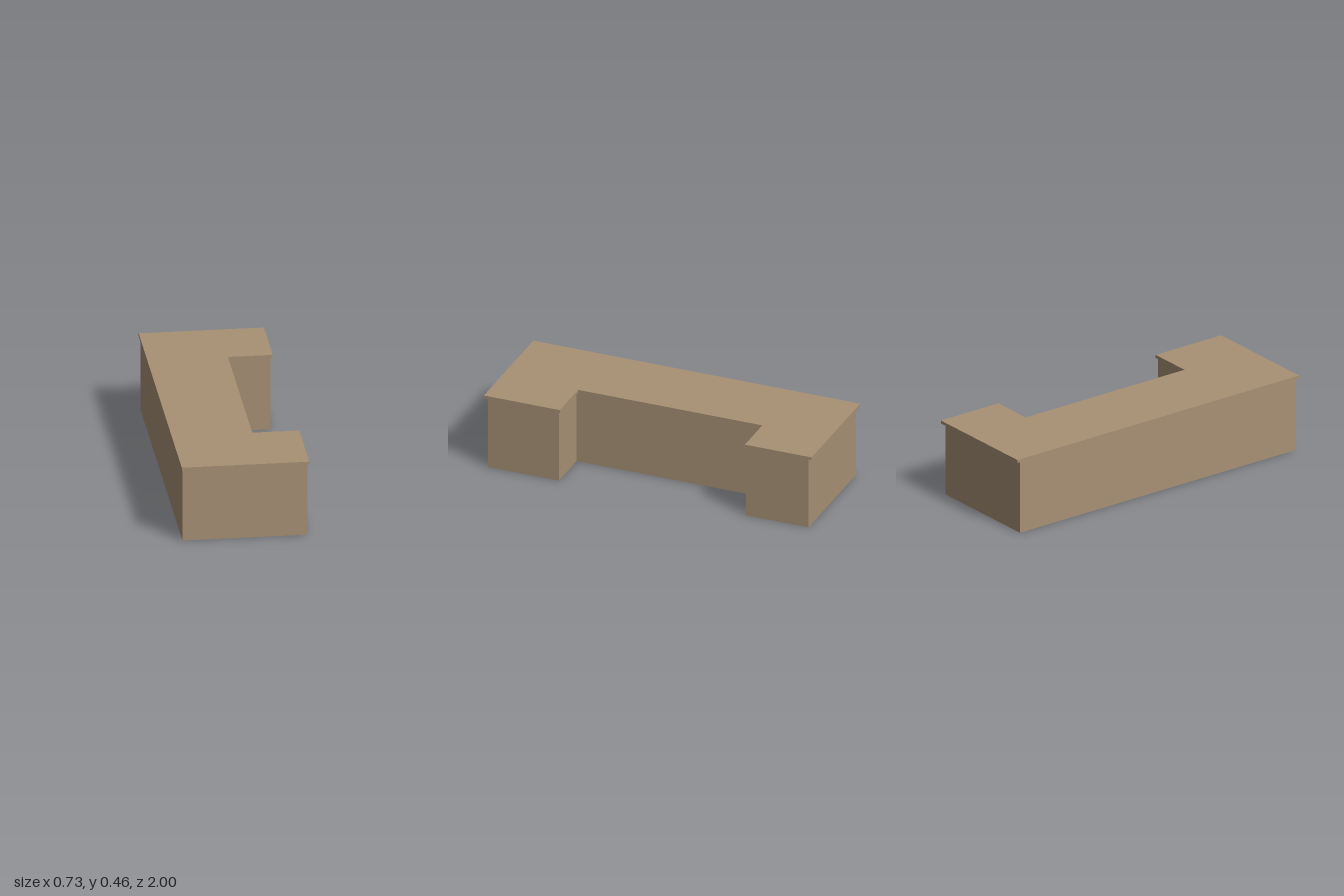
import * as THREE from 'three';

// Vertical prism from a plan outline of [x, z] points
function prism(name, plan, bottom, top, material) {
  const shape = new THREE.Shape(plan.map(([x, z]) => new THREE.Vector2(x, -z)));
  const geometry = new THREE.ExtrudeGeometry(shape, { depth: top - bottom, bevelEnabled: false });
  geometry.rotateX(-Math.PI / 2);
  geometry.translate(0, bottom, 0);
  const mesh = new THREE.Mesh(geometry, material);
  mesh.name = name;
  return mesh;
}

// C-shaped plan: long spine with a wing at the front and at the back
function cPlan({ left, recess, front, back, frontWing, backWing }) {
  return [
    [left, front], [frontWing.x, front], [frontWing.x, frontWing.z], [recess, frontWing.z],
    [recess, backWing.z], [backWing.x, backWing.z], [backWing.x, back], [left, back],
  ];
}

export function createModel() {
  const model = new THREE.Group();
  model.name = 'building';
  const material = new THREE.MeshStandardMaterial({ color: 0xa89175, flatShading: true });

  // Walls
  model.add(prism('walls', cPlan({
    left: -0.356, recess: 0.095, front: 0.977, back: -0.977,
    frontWing: { x: 0.355, z: 0.544 }, backWing: { x: 0.339, z: -0.595 },
  }), 0, 0.437, material));

  // Thin roof slab, overhanging the outer walls and flush in the recess
  model.add(prism('roofSlab', cPlan({
    left: -0.363, recess: 0.095, front: 1, back: -1,
    frontWing: { x: 0.363, z: 0.535 }, backWing: { x: 0.35, z: -0.592 },
  }), 0.437, 0.455, material));

  return model;
}
